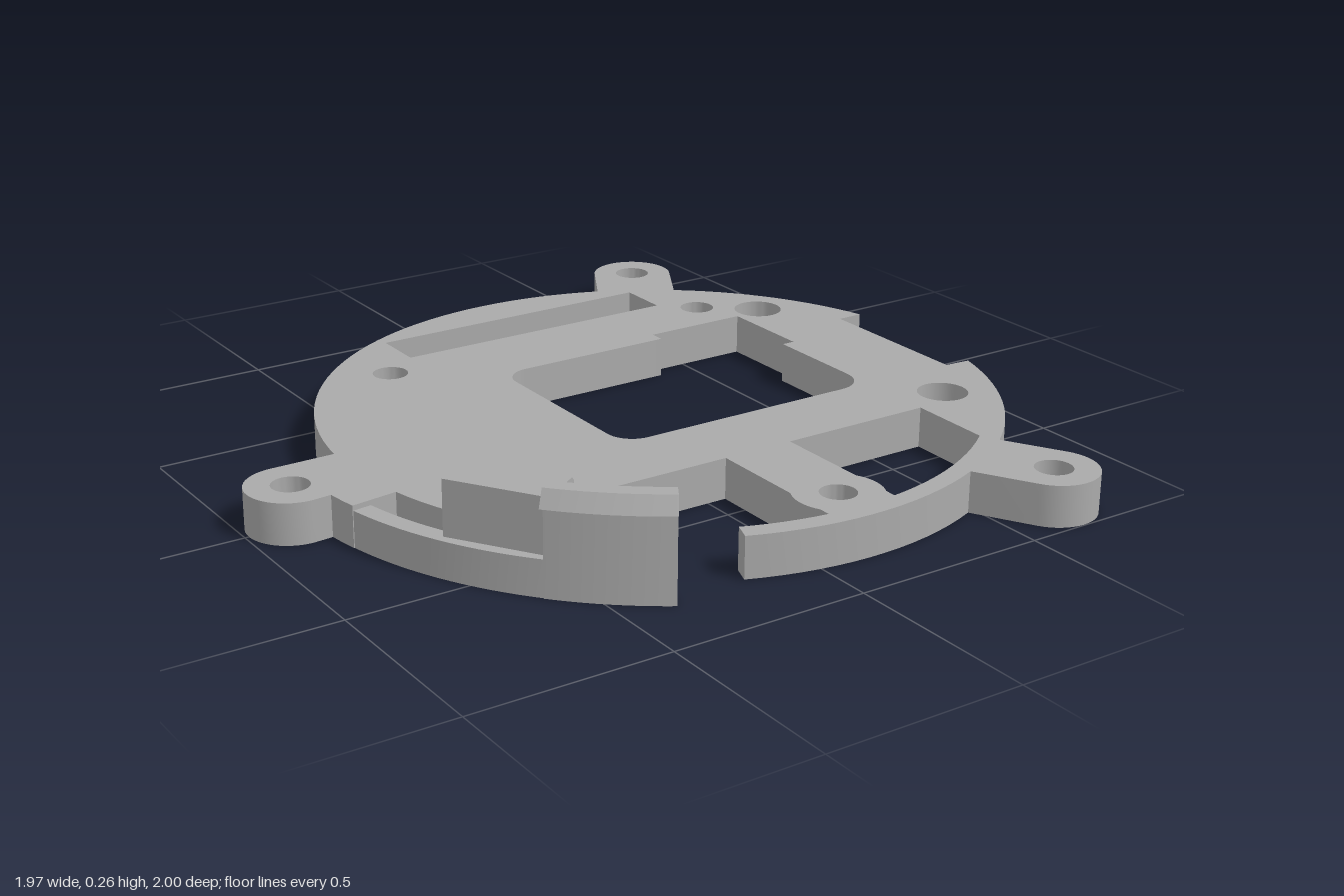
import * as THREE from 'three';
import { toCreasedNormals } from 'three/addons/utils/BufferGeometryUtils.js';

const H = 0.105;          // plate thickness
const CX = 0.145;         // disc centre on x
const R = 0.865;          // disc radius
const RIM = 0.815;        // inner radius of the front rim
const LUG_R = 0.11, LUG_D = 1.025;
const rad = (d) => d * Math.PI / 180;

// Plan points are [x, z]; angles run from +x towards +z in degrees
function arc(cx, cz, r, a0, a1, n = Math.max(2, Math.ceil(Math.abs(a1 - a0) / 3))) {
  const pts = [];
  for (let i = 0; i <= n; i++) {
    const a = rad(a0 + (a1 - a0) * i / n);
    pts.push([cx + r * Math.cos(a), cz + r * Math.sin(a)]);
  }
  return pts;
}
const discArc = (r, a0, a1) => arc(CX, 0, r, a0, a1);
const lugCentre = (a) => [CX + LUG_D * Math.cos(rad(a)), LUG_D * Math.sin(rad(a))];
const lugCap = (a) => arc(...lugCentre(a), LUG_R, a - 90, a + 90, 24);
const toVec = (pts) => pts.map(([x, y]) => new THREE.Vector2(x, y));

// Extrude a profile of (radius, height) and bend it around the disc centre
function bentGeometry(profile, a0, a1) {
  const geo = new THREE.ExtrudeGeometry(new THREE.Shape(toVec(profile)), {
    depth: rad(a1 - a0), steps: 16, bevelEnabled: false,
  });
  const p = geo.attributes.position;
  for (let i = 0; i < p.count; i++) {
    const r = p.getX(i), a = rad(a0) + p.getZ(i);
    p.setXYZ(i, CX + r * Math.cos(a), p.getY(i), r * Math.sin(a));
  }
  geo.computeVertexNormals();
  return toCreasedNormals(geo, 0.5);
}

function plateGeometry() {
  const outline = [
    [0.91, 0.22],
    ...discArc(R, 15.1, 52.7), ...lugCap(60), ...discArc(R, 67.3, 111.8),
    // inner side of the free rim end, then the boss and its bridge
    ...discArc(RIM, 111.9, 96.7),
    ...arc(0.145, 0.725, LUG_R, 150, 210, 10),
    [0.05, 0.42], [-0.35, 0.42], [-0.35, 0.64], [-0.43, 0.57],
    // notch beside the clip and root of the spring arm
    [-0.59, 0.31], [-0.64, 0.34],
    ...discArc(0.86, 157, 168.5), ...discArc(0.98, 169, 173.8),
    ...lugCap(180), ...discArc(R, 187.3, 292.7), ...lugCap(300),
    ...discArc(R, 307.3, 344.9),
    [0.91, -0.225],
  ];
  const shape = new THREE.Shape(toVec(outline));
  const hole = (pts) => shape.holes.push(new THREE.Path(toVec(pts)));

  // screw holes in lugs, boss and disc
  const circles = [60, 180, 300].map((a) => [...lugCentre(a), 0.047]);
  circles.push([0.145, 0.725, 0.045], [-0.34, -0.525, 0.046], [0.635, -0.525, 0.046],
    [0.77, -0.42, 0.065], [0.77, 0.365, 0.065]);
  for (const [x, z, r] of circles) hole(arc(x, z, r, 0, 350, 35));

  // long slot at the back
  hole([[-0.24, -0.74], [0.55, -0.74], [0.55, -0.6], [-0.24, -0.6]]);

  // stepped central opening
  hole([
    ...arc(-0.03, -0.29, 0.07, 180, 270, 10),
    [0.4, -0.36], [0.4, -0.4], [0.685, -0.4], [0.685, -0.145], [0.65, -0.145],
    ...arc(0.57, 0.13, 0.08, 0, 90, 10), ...arc(-0.03, 0.14, 0.07, 90, 180, 10),
  ]);

  // front window between the boss bridge and the rim
  hole([
    [0.24, 0.42], [0.65, 0.42],
    ...discArc(RIM, 52, 83.3),
    ...arc(0.145, 0.725, LUG_R, 30, -30, 10),
  ]);

  const geo = new THREE.ExtrudeGeometry(shape, { depth: H, bevelEnabled: false });
  geo.rotateX(Math.PI / 2).translate(0, H, 0);
  return toCreasedNormals(geo, 0.5);
}

export function createModel() {
  const group = new THREE.Group();
  const grey = new THREE.MeshStandardMaterial({ color: 0xaaaaaa });
  grey.name = 'grey plastic';
  const add = (name, geo) => {
    const mesh = new THREE.Mesh(geo, grey);
    mesh.name = name;
    group.add(mesh);
    return mesh;
  };

  add('mountingPlate', plateGeometry());

  // curved spring arm
  add('springArm', bentGeometry([[0.93, 0], [0.978, 0], [0.978, 0.092], [0.93, 0.092]], 138, 170));

  // upright hook with an outward lip at the end of the arm
  add('clipHook', bentGeometry([
    [0.945, 0], [0.98, 0], [0.98, 0.215], [1.008, 0.222], [0.985, 0.263], [0.945, 0.263],
  ], 122, 139));

  // tongue reaching inwards over the notch
  const tongue = add('clipTongue', new THREE.ExtrudeGeometry(new THREE.Shape(toVec([
    [0, 0.08], [0.035, 0.08], [0.05, 0.12], [0.115, 0.12], [0.13, 0.135],
    [0.13, 0.22], [0.12, 0.23], [0, 0.23],
  ])), { depth: 0.257, bevelEnabled: false }));
  tongue.position.set(-0.715, 0, 0.42);
  tongue.rotation.y = 0.58;

  return group;
}
